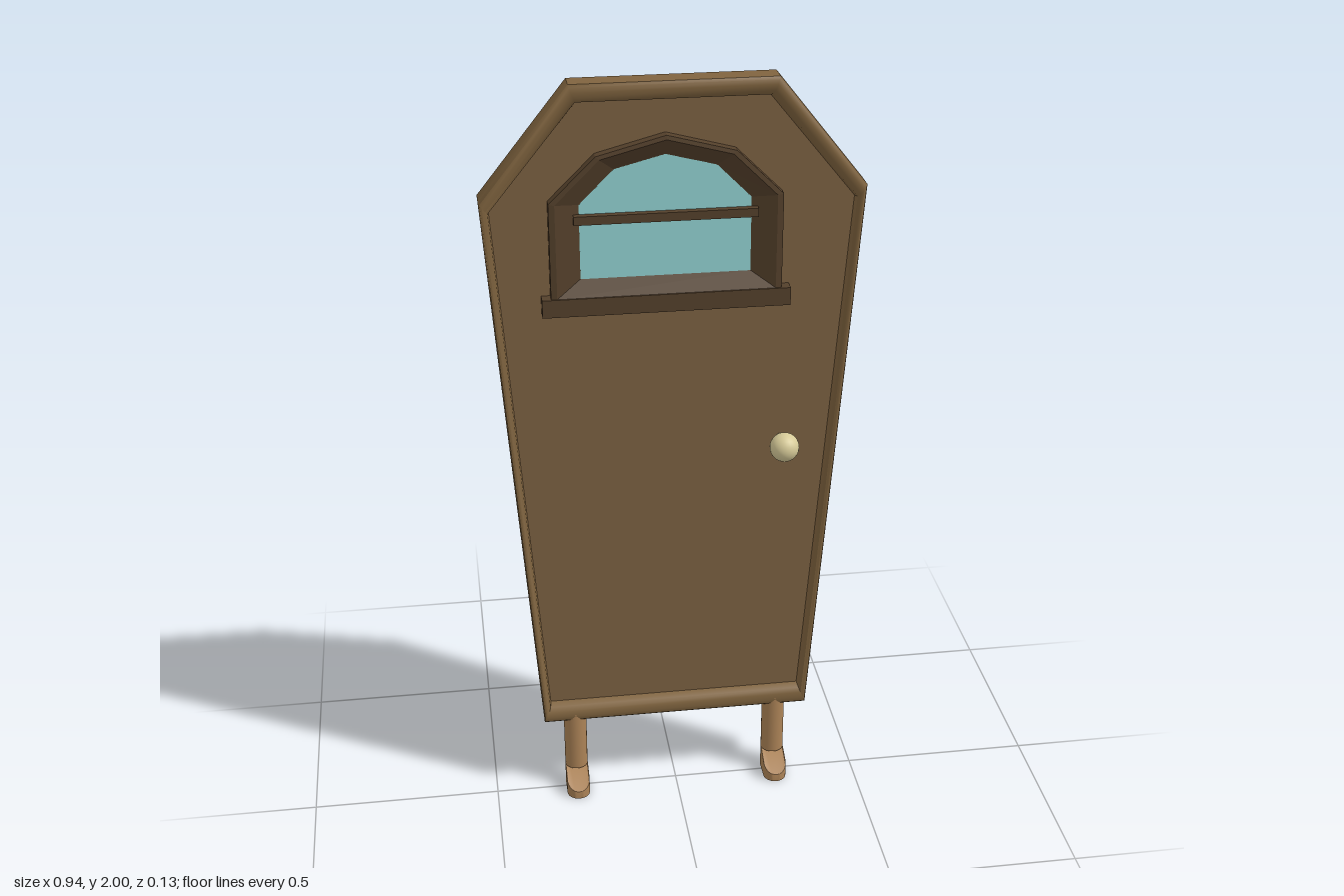
import * as THREE from 'three';
import { toCreasedNormals } from 'three/addons/utils/BufferGeometryUtils.js';

const mat = (color, extra = {}) => new THREE.MeshStandardMaterial({ color, ...extra });
const wood = mat(0x80643f), panelWood = mat(0x7c6142), darkWood = mat(0x54402b, { flatShading: true });
const legWood = mat(0xac8357), glassMat = mat(0x92d2d2), brass = mat(0xd6ca98);

function add(parent, name, geometry, material, x = 0, y = 0, z = 0) {
  const mesh = new THREE.Mesh(geometry, material);
  mesh.name = name;
  mesh.position.set(x, y, z);
  parent.add(mesh);
  return mesh;
}

const toShape = (pts) => new THREE.Shape(pts.map(([x, y]) => new THREE.Vector2(x, y)));

// Skin between two anticlockwise outlines; each profile step is [blend from outer to inner, z].
function loft(outer, inner, profile) {
  const n = outer.length, pos = [];
  const at = (i, [t, z]) => {
    const a = outer[i % n], b = inner[i % n];
    return [a[0] + (b[0] - a[0]) * t, a[1] + (b[1] - a[1]) * t, z];
  };
  for (let k = 0; k < profile.length - 1; k++) {
    for (let i = 0; i < n; i++) {
      const a = at(i, profile[k]), b = at(i + 1, profile[k]);
      const c = at(i + 1, profile[k + 1]), d = at(i, profile[k + 1]);
      pos.push(...a, ...b, ...c, ...a, ...c, ...d);
    }
  }
  const g = new THREE.BufferGeometry();
  g.setAttribute('position', new THREE.Float32BufferAttribute(pos, 3));
  g.computeVertexNormals();
  return g;
}

// Shoe with a rounded toe and a top that slopes down to the front.
function shoeGeometry() {
  const r = 0.031, s = new THREE.Shape();
  s.absarc(0, 0, r, 0, Math.PI, false);
  s.absarc(0, -0.052, r, Math.PI, Math.PI * 2, false);
  const g = new THREE.ExtrudeGeometry(s, { depth: 0.068, bevelEnabled: false, curveSegments: 12 });
  g.rotateX(-Math.PI / 2);
  const p = g.attributes.position;
  for (let i = 0; i < p.count; i++) {
    const slope = THREE.MathUtils.clamp((p.getZ(i) - 0.022) / 0.06, 0, 1);
    if (p.getY(i) > 0.03) p.setY(i, 0.068 - 0.045 * slope);
  }
  return toCreasedNormals(g, 0.6);
}

export function createModel() {
  const model = new THREE.Group();
  model.name = 'walkingDoor';

  // Door leans back very slightly
  const door = new THREE.Group();
  door.name = 'door';
  door.position.z = 0.014;
  door.rotation.x = -0.008;
  model.add(door);

  // Coffin-shaped body with a rounded raised rim
  const outer = [[-0.362, 0.225], [0.362, 0.225], [0.47, 1.725], [0.25, 2], [-0.25, 2], [-0.47, 1.725]];
  const inner = [[-0.342, 0.275], [0.342, 0.275], [0.445, 1.69], [0.232, 1.95], [-0.232, 1.95], [-0.445, 1.69]];
  const back = -0.064, panelZ = -0.033;
  const rim = [[0, back], [0, -0.008], [0.12, -0.002], [0.35, 0], [0.65, -0.003], [0.88, -0.012], [1, panelZ]];
  add(door, 'rim', toCreasedNormals(loft(outer, inner, rim), 0.75), wood);
  add(door, 'frontPanel', new THREE.ShapeGeometry(toShape(inner)), panelWood, 0, 0, panelZ);
  const backPanel = add(door, 'backPanel', new THREE.ShapeGeometry(toShape(outer)), panelWood, 0, 0, back);
  backPanel.rotation.y = Math.PI;

  // Arched window with a splayed frame
  const win = new THREE.Group();
  win.name = 'window';
  win.position.x = -0.02;
  door.add(win);
  const frameOut = [[-0.285, 1.46], [0.285, 1.46], [0.285, 1.712], [0.17, 1.825], [0, 1.87], [-0.17, 1.825], [-0.285, 1.712]];
  const frameIn = [[-0.21, 1.51], [0.21, 1.51], [0.21, 1.7], [0.125, 1.785], [0, 1.817], [-0.125, 1.785], [-0.21, 1.7]];
  add(win, 'windowFrame', loft(frameOut, frameIn, [[0, panelZ], [0, -0.006], [0.2, -0.004], [1, -0.03]]), darkWood);
  add(win, 'glass', new THREE.ShapeGeometry(toShape(frameIn)), glassMat, 0, 0, -0.0295);
  add(win, 'windowBar', new THREE.BoxGeometry(0.45, 0.022, 0.018), darkWood, 0, 1.666, -0.018);
  add(win, 'windowSill', new THREE.BoxGeometry(0.615, 0.046, 0.034), darkWood, 0, 1.447, -0.017);

  // Round knob on a short stem
  add(door, 'knob', new THREE.SphereGeometry(0.038, 24, 16), brass, 0.278, 1.04, 0.022);
  const stem = add(door, 'knobStem', new THREE.CylinderGeometry(0.014, 0.014, 0.055, 16), brass, 0.278, 1.04, -0.008);
  stem.rotation.x = Math.PI / 2;

  // Legs and shoes
  for (const [side, x] of [['left', 0.277], ['right', -0.277]]) {
    add(model, side + 'Leg', new THREE.CylinderGeometry(0.031, 0.031, 0.18, 20), legWood, x, 0.155, -0.019);
    add(model, side + 'Shoe', shoeGeometry(), legWood, x, 0, -0.019);
  }
  return model;
}
